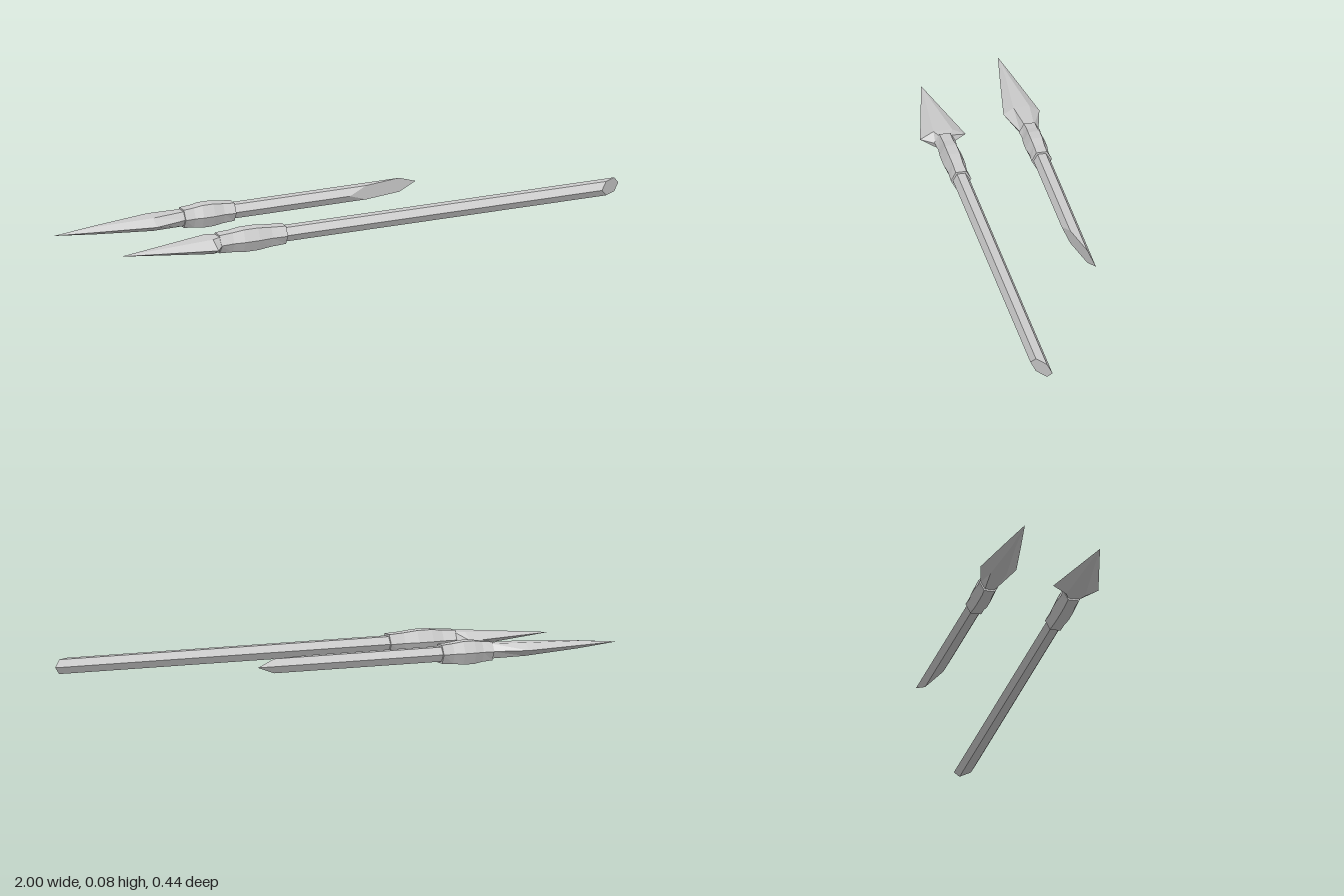
import * as THREE from 'three';

const material = new THREE.MeshStandardMaterial({ color: 0xcccccc, flatShading: true });

// Six-sided loft along x. Each section is [x, edge half width, flat half width, half height];
// an optional fifth value skews the section in x by z (slanted cut).
function hexLoft(name, sections) {
  const rings = sections.map(([x, edge, flat, h, skew = 0]) =>
    [[edge, 0], [flat, h], [-flat, h], [-edge, 0], [-flat, -h], [flat, -h]]
      .map(([z, y]) => [x + skew * z, y, z]));
  const pos = [];
  const tri = (a, b, c) => pos.push(...a, ...b, ...c);
  for (let i = 0; i < rings.length - 1; i++) {
    for (let k = 0; k < 6; k++) {
      const n = (k + 1) % 6;
      const a = rings[i][k], b = rings[i][n], c = rings[i + 1][k], d = rings[i + 1][n];
      if (sections[i][1] > 0) tri(a, c, b);
      tri(b, c, d);
    }
  }
  // end caps
  const first = rings[0], last = rings[rings.length - 1];
  for (let k = 1; k < 5; k++) {
    if (sections[0][1] > 0) tri(first[0], first[k], first[k + 1]);
    tri(last[0], last[k + 1], last[k]);
  }
  const geometry = new THREE.BufferGeometry();
  geometry.setAttribute('position', new THREE.Float32BufferAttribute(pos, 3));
  geometry.computeVertexNormals();
  const mesh = new THREE.Mesh(geometry, material);
  mesh.name = name;
  return mesh;
}

// Wavy binding: flared ends, a bulge in the middle
function binding(x0, x1) {
  const profile = [
    [0, 0.037, 0.019, 0.032], [0.2, 0.034, 0.018, 0.035], [0.36, 0.038, 0.02, 0.04],
    [0.58, 0.038, 0.02, 0.04], [0.78, 0.033, 0.018, 0.035], [1, 0.036, 0.019, 0.032],
  ];
  return hexLoft('binding', profile.map(([t, ...size]) => [x0 + t * (x1 - x0), ...size]));
}

// Hexagonal shaft with a slanted end
function shaft(x0, xMid, skew) {
  return hexLoft('shaft', [[x0, 0.029, 0.0145, 0.025], [xMid, 0.029, 0.0145, 0.025, skew]]);
}

function spear(name, z, parts) {
  const group = new THREE.Group();
  group.name = name;
  group.add(...parts);
  group.position.set(0, 0.041, z);
  return group;
}

export function createModel() {
  const model = new THREE.Group();
  model.name = 'spears';

  // Long spear with a broad, shouldered head
  model.add(spear('longSpear', 0.14, [
    hexLoft('spearHead', [
      [-0.88, 0, 0, 0],
      [-0.55, 0.08, 0.033, 0.026],
      [-0.515, 0.034, 0.018, 0.026],
    ]),
    binding(-0.52, -0.27),
    shaft(-0.3, 0.955, -1.5),
  ]));

  // Short broken spear with a slender leaf-shaped head
  model.add(spear('shortSpear', -0.157, [
    hexLoft('spearHead', [
      [-1, 0, 0, 0],
      [-0.85, 0.027, 0.007, 0.013],
      [-0.64, 0.063, 0.028, 0.023],
      [-0.515, 0.031, 0.016, 0.026],
    ]),
    binding(-0.52, -0.33),
    shaft(-0.36, 0.235, -4.7),
  ]));

  return model;
}
